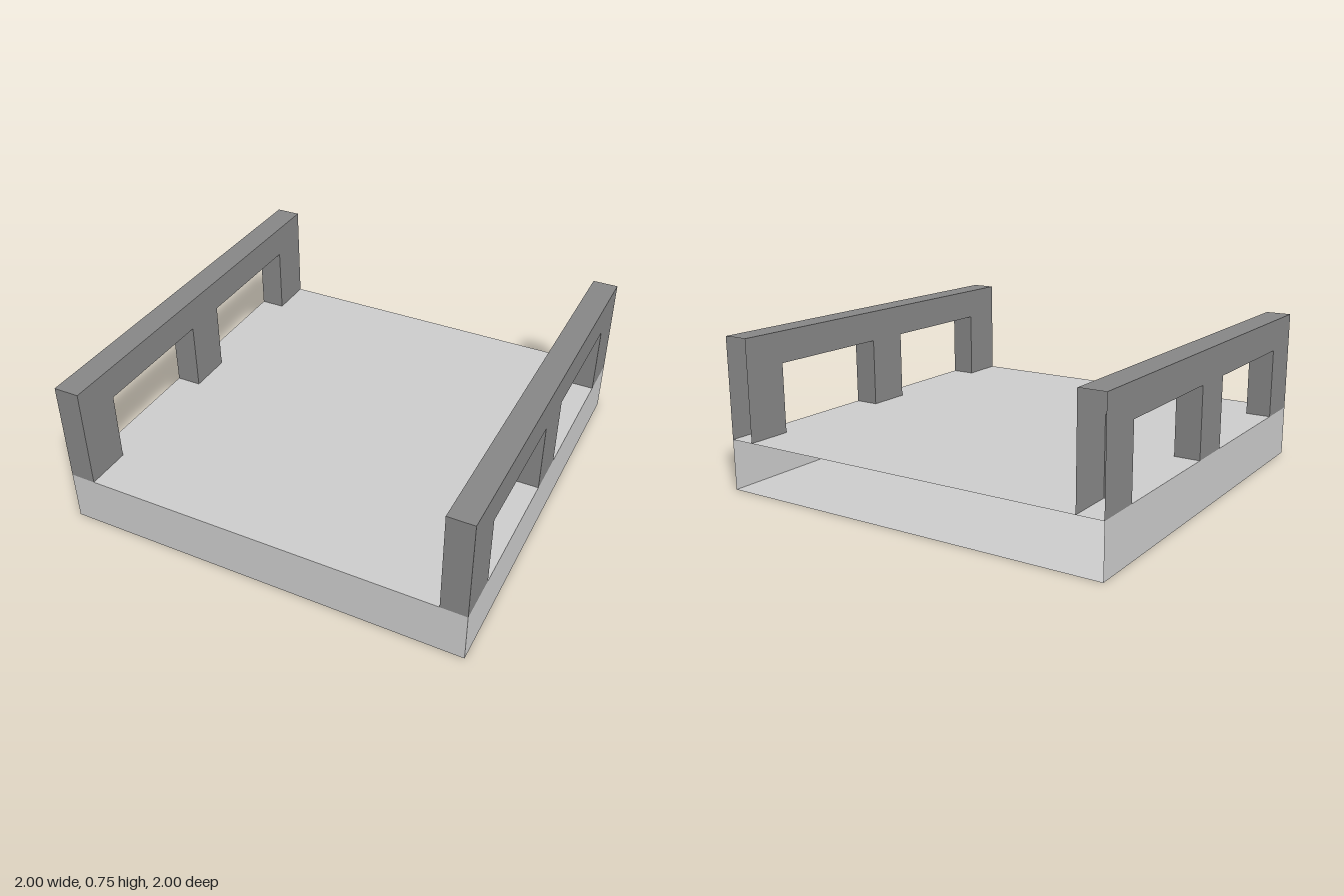
import * as THREE from 'three';

const BASE_TOP = 0.25, RAIL_TOP = 0.75, LINTEL = 0.595, RAIL_WIDTH = 0.125;

// Drops every triangle whose three corners lie on the plane axis = value.
function removeFace(geometry, axis, value) {
  const source = geometry.index ? geometry.toNonIndexed() : geometry;
  const p = source.attributes.position;
  const kept = [];
  for (let i = 0; i < p.count; i += 3) {
    const onPlane = [0, 1, 2].every(k => Math.abs(p.getComponent(i + k, axis) - value) < 1e-4);
    if (onPlane) continue;
    for (let k = 0; k < 3; k++) kept.push(p.getX(i + k), p.getY(i + k), p.getZ(i + k));
  }
  const result = new THREE.BufferGeometry();
  result.setAttribute('position', new THREE.Float32BufferAttribute(kept, 3));
  result.computeVertexNormals();
  return result;
}

function addPart(group, name, geometry, color) {
  const material = new THREE.MeshStandardMaterial({ color, side: THREE.DoubleSide });
  const mesh = new THREE.Mesh(geometry, material);
  mesh.name = name;
  group.add(mesh);
}

// Side rail: three posts under one long beam, hollow and open at the back.
function railGeometry(side) {
  const outline = [
    [-1, BASE_TOP], [-0.775, BASE_TOP], [-0.775, LINTEL], [-0.1125, LINTEL], [-0.1125, BASE_TOP],
    [0.1125, BASE_TOP], [0.1125, LINTEL], [0.775, LINTEL], [0.775, BASE_TOP], [1, BASE_TOP],
    [1, RAIL_TOP], [-1, RAIL_TOP],
  ].map(([z, y]) => new THREE.Vector2(z, y));
  const solid = new THREE.ExtrudeGeometry(new THREE.Shape(outline), {
    depth: RAIL_WIDTH, bevelEnabled: false,
  });
  solid.translate(0, 0, -RAIL_WIDTH / 2).rotateY(-Math.PI / 2);
  solid.translate(side * (1 - RAIL_WIDTH / 2), 0, 0);
  return removeFace(removeFace(solid, 2, -1), 1, BASE_TOP);
}

export function createModel() {
  const group = new THREE.Group();
  group.name = 'railedPlatform';

  // Flat platform, open at the back
  const slab = new THREE.BoxGeometry(2, BASE_TOP, 2).translate(0, BASE_TOP / 2, 0);
  addPart(group, 'platform', removeFace(slab, 2, -1), 0xcccccc);

  // Darker rails along both sides
  addPart(group, 'leftRail', railGeometry(1), 0x868686);
  addPart(group, 'rightRail', railGeometry(-1), 0x868686);

  return group;
}
